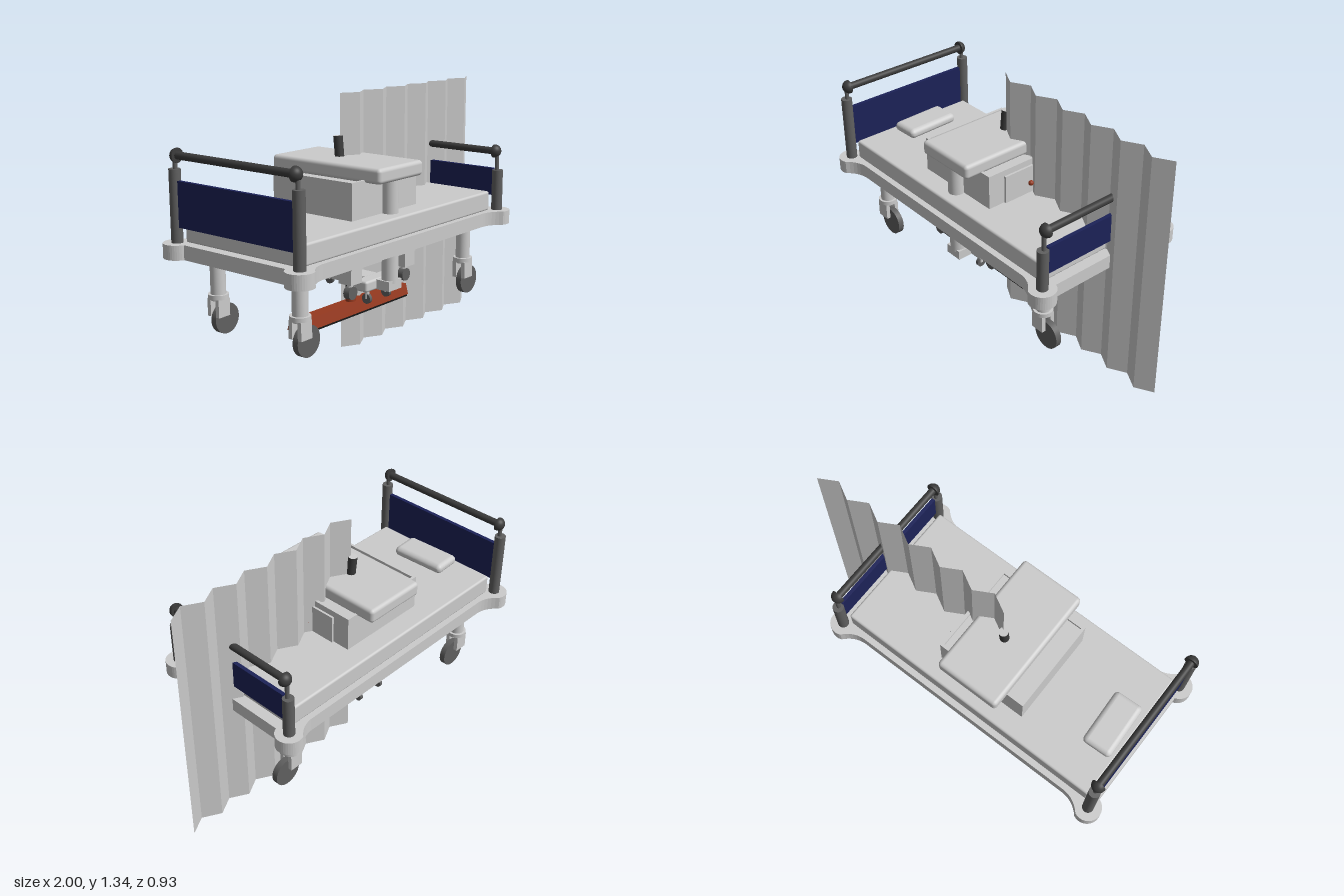
import * as THREE from 'three';
import { RoundedBoxGeometry } from 'three/addons/geometries/RoundedBoxGeometry.js';

const mat = (color, side = THREE.FrontSide) => new THREE.MeshStandardMaterial({ color, side });
const GREY = mat(0xcccccc), STEEL = mat(0x606060), DARK = mat(0x3c3c3c);
const NAVY = mat(0x1c2258), RED = mat(0x96391f), BLACK = mat(0x161616);

function add(parent, name, geo, material, x = 0, y = 0, z = 0) {
  const m = new THREE.Mesh(geo, material);
  m.name = name;
  m.position.set(x, y, z);
  parent.add(m);
  return m;
}
// Box given by its limits on each axis
function span(parent, name, [x0, x1], [y0, y1], [z0, z1], material = GREY, r = 0) {
  const s = [x1 - x0, y1 - y0, z1 - z0];
  const geo = r ? new RoundedBoxGeometry(...s, 4, r) : new THREE.BoxGeometry(...s);
  return add(parent, name, geo, material, (x0 + x1) / 2, (y0 + y1) / 2, (z0 + z1) / 2);
}
// Upright cylinder from y0 to y1
const post = (parent, name, r, y0, y1, x, z, material = GREY) =>
  add(parent, name, new THREE.CylinderGeometry(r, r, y1 - y0, 32), material, x, (y0 + y1) / 2, z);
// Disc with its axle along z
const disc = (r, w) => new THREE.CylinderGeometry(r, r, w, 40).rotateX(Math.PI / 2);
function group(parent, name) {
  const g = new THREE.Group();
  g.name = name;
  parent.add(g);
  return g;
}

// Bed deck with a round lobe flowing out of each corner
function deckGeometry() {
  const corner = (sx, sz) => {
    const cx = sx < 0 ? -0.93 : 0.65, pts = [];
    const side = new THREE.QuadraticBezierCurve(new THREE.Vector2(0.14, 0.4),
      new THREE.Vector2(0.075, 0.405), new THREE.Vector2(0.03, 0.458));
    side.getPoints(6).forEach(p => pts.push([p.x, p.y]));
    for (let i = 0; i <= 20; i++) {
      const a = 1.12 + i / 20 * 3.3;
      pts.push([0.07 * Math.cos(a), 0.395 + 0.07 * Math.sin(a)]);
    }
    const out = pts.map(([u, z]) => new THREE.Vector2(cx - sx * u, sz * z));
    return sx * sz < 0 ? out : out.reverse();
  };
  const outline = [[-1, 1], [-1, -1], [1, -1], [1, 1]].flatMap(c => corner(...c));
  return new THREE.ExtrudeGeometry(new THREE.Shape(outline), { depth: 0.073, bevelEnabled: false })
    .rotateX(-Math.PI / 2);
}

function buildBed(root) {
  const bed = group(root, 'bed');
  add(bed, 'bedDeck', deckGeometry(), GREY, 0, 0.6, 0);
  span(bed, 'mattress', [-0.9, 0.615], [0.67, 0.775], [-0.37, 0.37], GREY, 0.012);

  // Soft pillow, thinner towards its rim
  const pg = new RoundedBoxGeometry(0.165, 0.06, 0.31, 8, 0.026);
  const p = pg.attributes.position;
  for (let i = 0; i < p.count; i++) {
    const u = p.getX(i) / 0.0825, w = p.getZ(i) / 0.155;
    p.setY(i, p.getY(i) * (1 - 0.25 * u * u * w * w));
    p.setX(i, p.getX(i) * (0.93 + 0.07 * w * w));
  }
  pg.computeVertexNormals();
  add(bed, 'pillow', pg, GREY, -0.79, 0.8, -0.015).rotation.y = 0.04;

  // Head and foot ends
  for (const [name, x, top, ball, panelTop] of [
    ['headEnd', -0.93, 1.03, 1.095, 0.975], ['footEnd', 0.65, 0.89, 0.99, 0.897]]) {
    const end = group(bed, name);
    span(end, 'endPanel', [x - 0.01, x + 0.01], [0.75, panelTop], [-0.37, 0.37], NAVY);
    add(end, 'handRail', new THREE.CylinderGeometry(0.019, 0.019, 0.75, 24).rotateX(Math.PI / 2), DARK, x, ball, 0);
    for (const s of [-1, 1]) {
      post(end, 'endPost', 0.029, 0.67, top, x, s * 0.395, STEEL);
      post(end, 'postStem', 0.011, top, ball - 0.02, x, s * 0.39, STEEL);
      const cap = new THREE.SphereGeometry(0.036, 28, 10, 0, Math.PI * 2, 0, Math.PI / 2);
      add(end, 'railKnob', cap, mat(0x3c3c3c, THREE.DoubleSide), x, ball, s * 0.373).rotation.x = s * Math.PI / 2;
      add(end, 'knobBack', disc(0.036, 0.004), DARK, x, ball, s * 0.373);
    }
  }

  // Legs with forked casters
  for (const x of [-0.795, 0.52]) for (const z of [-0.268, 0.268]) {
    const leg = group(bed, 'bedLeg');
    post(leg, 'legTube', 0.038, 0.38, 0.6, x, z);
    post(leg, 'legCollar', 0.051, 0.39, 0.412, x, z);
    for (const s of [-1, 1]) {
      const dz = z + s * 0.028;
      span(leg, 'casterFork', [x - 0.037, x + 0.037], [0.3, 0.39], [dz - 0.011, dz + 0.011]);
    }
    add(leg, 'casterWheel', disc(0.077, 0.032), STEEL, x + 0.04, 0.278, z);
  }
}

function buildCabinet(root) {
  const cab = group(root, 'cabinet');
  span(cab, 'cabinetBody', [-0.41, 0.1], [0.53, 0.945], [-0.255, 0.255]);
  // Raised rim around the top
  for (const s of [-1, 1]) {
    const x = -0.155 + s * 0.2475, z = s * 0.2475;
    span(cab, 'topRim', [x - 0.0075, x + 0.0075], [0.945, 0.96], [-0.255, 0.255]);
    span(cab, 'topRim', [-0.395, 0.085], [0.945, 0.96], [z - 0.0075, z + 0.0075]);
  }
  span(cab, 'drawerFront', [0.1, 0.112], [0.54, 0.927], [-0.158, 0.158]);
  add(cab, 'drawerKnob', new THREE.SphereGeometry(0.014, 16, 12), RED, 0.122, 0.835, 0);
  for (const x of [-0.37, 0.06]) for (const s of [-1, 1]) {
    const z = s * 0.21;
    span(cab, 'cornerFoot', [x - 0.041, x + 0.041], [0.455, 0.53], [z - 0.04, z + 0.04]);
    post(cab, 'casterStem', 0.016, 0.41, 0.455, x, z);
    add(cab, 'cabinetCaster', disc(0.033, 0.035), STEEL, x, 0.405, z);
  }
  add(cab, 'undersideDisc', disc(0.15, 0.1), STEEL, -0.14, 0.58, 0);
}

function buildTable(root) {
  const table = group(root, 'overbedTable');
  span(table, 'tableTop', [-0.315, 0.037], [0.945, 1.022], [-0.352, 0.347], GREY, 0.02);
  post(table, 'tableColumn', 0.042, 0.42, 0.95, -0.14, 0.275);
  span(table, 'baseBeam', [-0.19, -0.09], [0.385, 0.435], [-0.23, 0.31]);
  for (const z of [-0.19, 0.19]) {
    span(table, 'baseFoot', [-0.27, -0.01], [0.382, 0.438], [z - 0.04, z + 0.04], GREY, 0.012);
    for (const x of [-0.215, -0.06]) {
      post(table, 'casterStem', 0.012, 0.335, 0.385, x, z);
      add(table, 'tableCaster', disc(0.026, 0.018).rotateY(Math.PI / 2), STEEL, x, 0.335, z);
    }
  }
}

function buildBroom(root) {
  const broom = group(root, 'broom');
  // Head: sloped bar with a stepped ridge, extruded along x
  const profile = new THREE.Shape([[-0.05, 0.215], [0.05, 0.215], [0.035, 0.272], [-0.035, 0.272]]
    .map(([a, b]) => new THREE.Vector2(a, b)));
  const head = new THREE.ExtrudeGeometry(profile, { depth: 0.855, bevelEnabled: false })
    .rotateY(Math.PI / 2);
  add(broom, 'broomHead', head, RED, -0.565, 0, 0.02);
  span(broom, 'bristlePad', [-0.56, 0.285], [0.204, 0.216], [-0.027, 0.067], BLACK);
  post(broom, 'handleSocket', 0.027, 0.265, 0.315, -0.14, 0.02, RED);
  // Handle leaning back
  const a = new THREE.Vector3(-0.14, 0.29, 0.022), b = new THREE.Vector3(-0.14, 1.126, -0.06);
  add(broom, 'broomHandle', new THREE.TubeGeometry(new THREE.LineCurve3(a, b), 1, 0.024, 24), DARK);
  const tip = add(broom, 'handleTip', new THREE.CircleGeometry(0.024, 24), GREY, b.x, b.y, b.z);
  tip.quaternion.setFromUnitVectors(new THREE.Vector3(0, 0, 1), b.clone().sub(a).normalize());
}

// Pleated curtain standing upright across the bed
function buildCurtain(root) {
  const folds = 12, x0 = -0.133, x1 = 1, pos = [];
  const at = i => [x0 + (x1 - x0) * i / folds, i % 2 ? 0 : -0.052];
  for (let i = 0; i < folds; i++) {
    const [ax, az] = at(i), [bx, bz] = at(i + 1), h = 1.34;
    pos.push(ax, 0, az, bx, 0, bz, bx, h, bz, ax, 0, az, bx, h, bz, ax, h, az);
  }
  const geo = new THREE.BufferGeometry();
  geo.setAttribute('position', new THREE.Float32BufferAttribute(pos, 3));
  geo.computeVertexNormals();
  add(root, 'curtain', geo, mat(0xcccccc, THREE.DoubleSide));
}

export function createModel() {
  const root = new THREE.Group();
  root.name = 'hospitalBedSet';
  buildBed(root);
  buildCabinet(root);
  buildTable(root);
  buildBroom(root);
  buildCurtain(root);
  return root;
}
